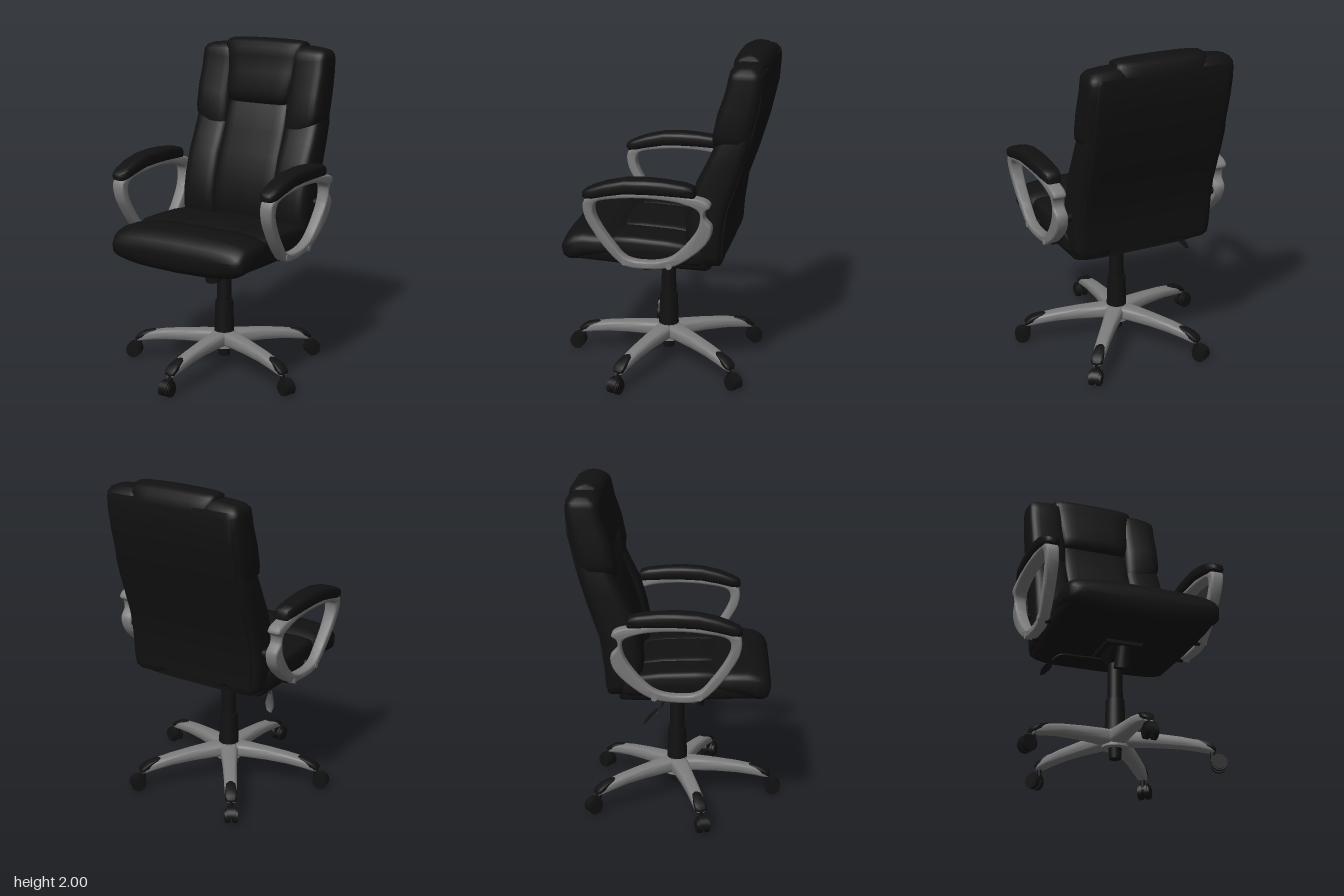
import * as THREE from 'three';
import { toCreasedNormals } from 'three/addons/utils/BufferGeometryUtils.js';

const black = new THREE.MeshStandardMaterial({ color: 0x111111 });
black.name = 'black leather';
const grey = new THREE.MeshStandardMaterial({ color: 0x7c7c7c });
grey.name = 'grey metal';

function add(parent, name, geo, mat, x = 0, y = 0, z = 0) {
  const m = new THREE.Mesh(geo, mat);
  m.name = name;
  m.position.set(x, y, z);
  parent.add(m);
  return m;
}

// Skin rounded-rectangle sections; each row is [t, a0, a1, b0, b1], map turns (a, b, t) into [x, y, z]
function loft(rows, map, power = 4, seg = 32) {
  const pos = [], idx = [];
  for (const [t, a0, a1, b0, b1] of rows) {
    for (let i = 0; i < seg; i++) {
      const w = (i / seg) * Math.PI * 2, c = Math.cos(w), s = Math.sin(w);
      const u = Math.sign(c) * Math.abs(c) ** (2 / power), v = Math.sign(s) * Math.abs(s) ** (2 / power);
      pos.push(...map((a0 + a1) / 2 + u * (a1 - a0) / 2, (b0 + b1) / 2 + v * (b1 - b0) / 2, t));
    }
  }
  for (let r = 0; r < rows.length - 1; r++) {
    for (let i = 0; i < seg; i++) {
      const a = r * seg + i, b = r * seg + (i + 1) % seg;
      idx.push(a, b, a + seg, b, b + seg, a + seg);
    }
  }
  for (const end of [0, rows.length - 1]) {
    const [t, a0, a1, b0, b1] = rows[end], n = pos.length / 3;
    pos.push(...map((a0 + a1) / 2, (b0 + b1) / 2, t));
    for (let i = 0; i < seg; i++) {
      const a = end * seg + i, b = end * seg + (i + 1) % seg;
      idx.push(...(end ? [a, b, n] : [b, a, n]));
    }
  }
  // Turn the faces outward whichever way the map is handed
  let vol = 0;
  const P = (i) => new THREE.Vector3().fromArray(pos, i * 3);
  for (let i = 0; i < idx.length; i += 3) vol += P(idx[i]).dot(P(idx[i + 1]).cross(P(idx[i + 2])));
  if (vol < 0) idx.reverse();
  const g = new THREE.BufferGeometry();
  g.setAttribute('position', new THREE.Float32BufferAttribute(pos, 3));
  g.setIndex(idx);
  return toCreasedNormals(g, 0.9);
}
const alongY = (a, b, t) => [a, t, b];
const alongZ = (a, b, t) => [a, b, t];

function buildBackrest(parent) {
  const g = new THREE.Group();
  g.name = 'backrest';
  parent.add(g);
  for (const s of [-1, 1]) {
    const side = (a, b, t) => [s * a, t, b];
    // Lower side bolster
    add(g, 'sideBolster', loft([
      [0.79, 0.24, 0.40, -0.405, -0.30], [0.805, 0.21, 0.43, -0.412, -0.25], [0.85, 0.2, 0.442, -0.415, -0.215],
      [0.95, 0.2, 0.447, -0.42, -0.2], [1.05, 0.2, 0.447, -0.43, -0.2], [1.15, 0.2, 0.447, -0.45, -0.22],
      [1.29, 0.2, 0.445, -0.5, -0.26], [1.4, 0.2, 0.445, -0.535, -0.315], [1.5, 0.2, 0.443, -0.565, -0.36],
      [1.62, 0.2, 0.43, -0.59, -0.42]], side), black);
    // Upper wing beside the headrest, its lower edge rising outward
    add(g, 'sideWing', loft([
      [1.45, 0.23, 0.42, -0.545, -0.38], [1.47, 0.21, 0.44, -0.553, -0.35], [1.52, 0.2, 0.445, -0.572, -0.347],
      [1.66, 0.2, 0.445, -0.605, -0.372], [1.8, 0.2, 0.443, -0.627, -0.415], [1.88, 0.2, 0.442, -0.63, -0.43],
      [1.93, 0.2, 0.44, -0.622, -0.44], [1.955, 0.2, 0.425, -0.6, -0.465], [1.963, 0.2, 0.4, -0.575, -0.49]],
    (a, b, t) => [s * a, t + (1.963 - t) * (a - 0.3) * 0.9 - Math.max(0, a - 0.3) * 0.1 * (t > 1.9), b]), black);
  }
  add(g, 'lumbarCushion', loft([
    [0.8, -0.21, 0.21, -0.41, -0.28], [0.85, -0.225, 0.225, -0.417, -0.235], [1.0, -0.225, 0.225, -0.427, -0.222],
    [1.15, -0.225, 0.225, -0.452, -0.24], [1.3, -0.225, 0.225, -0.505, -0.285], [1.45, -0.225, 0.225, -0.55, -0.345],
    [1.6, -0.22, 0.22, -0.588, -0.395], [1.64, -0.2, 0.2, -0.6, -0.43]], alongY, 7), black);
  add(g, 'headrest', loft([
    [1.6, -0.2, 0.2, -0.588, -0.41], [1.62, -0.222, 0.222, -0.593, -0.385], [1.68, -0.235, 0.235, -0.608, -0.372],
    [1.8, -0.25, 0.25, -0.63, -0.41], [1.9, -0.265, 0.265, -0.635, -0.425], [1.95, -0.272, 0.272, -0.628, -0.43],
    [1.98, -0.272, 0.272, -0.607, -0.445], [1.994, -0.265, 0.265, -0.58, -0.475], [2.0, -0.24, 0.24, -0.55, -0.5]],
  (a, b, t) => [a, t - 0.1 * a * a * (t > 1.9), b], 5), black);
  // Rear cover panel
  add(g, 'rearCover', loft([
    [0.83, -0.4, 0.4, -0.42, -0.38], [0.95, -0.41, 0.41, -0.427, -0.38], [1.13, -0.41, 0.41, -0.452, -0.4],
    [1.31, -0.41, 0.41, -0.514, -0.45], [1.53, -0.41, 0.41, -0.579, -0.5], [1.74, -0.41, 0.41, -0.625, -0.56],
    [1.88, -0.405, 0.405, -0.635, -0.56], [1.92, -0.39, 0.39, -0.63, -0.56]], alongY, 9), black);
}

function buildSeat(parent) {
  const g = new THREE.Group();
  g.name = 'seat';
  parent.add(g);
  add(g, 'seatBase', loft([
    [-0.34, -0.4, 0.4, 0.745, 0.86], [-0.32, -0.43, 0.43, 0.74, 0.89], [0, -0.45, 0.45, 0.748, 0.915],
    [0.3, -0.455, 0.455, 0.762, 0.92], [0.45, -0.44, 0.44, 0.765, 0.9]], alongZ, 5), black);
  // Cushion panels behind the front roll
  for (const [name, x0, x1, lift] of [['seatPanel', -0.215, 0.215, 0.008], ['seatSide', 0.2, 0.455, 0], ['seatSide', -0.455, -0.2, 0]]) {
    add(g, name, loft([
      [-0.32, x0 + 0.02, x1 - 0.02, 0.8, 0.89], [-0.28, x0, x1, 0.79, 0.92 + lift], [-0.1, x0, x1, 0.79, 0.942 + lift],
      [0.1, x0, x1, 0.79, 0.95 + lift], [0.2, x0, x1, 0.79, 0.95 + lift], [0.26, x0 + 0.02, x1 - 0.02, 0.8, 0.92]],
    alongZ, 5), black);
  }
  // Waterfall front roll
  add(g, 'frontRoll', loft([
    [0.18, -0.43, 0.43, 0.79, 0.925], [0.2, -0.452, 0.452, 0.775, 0.952], [0.3, -0.462, 0.462, 0.768, 0.968],
    [0.4, -0.464, 0.464, 0.757, 0.972], [0.45, -0.462, 0.462, 0.738, 0.966], [0.49, -0.456, 0.456, 0.736, 0.948],
    [0.52, -0.442, 0.442, 0.752, 0.92], [0.534, -0.42, 0.42, 0.785, 0.892], [0.54, -0.38, 0.38, 0.82, 0.865]],
  (a, b, t) => [a, b + (b < 0.85 ? 0.12 : -0.06) * a * a, t], 5, 48), black);
}

const spline = (pts) => new THREE.CatmullRomCurve3(pts.map(([z, y]) => new THREE.Vector3(z, y, 0)), true, 'centripetal')
  .getPoints(72).map((p) => new THREE.Vector2(p.x, p.y));

function buildArm(parent, s) {
  const g = new THREE.Group();
  g.name = s > 0 ? 'leftArm' : 'rightArm';
  parent.add(g);
  // Looped frame, leaning outward toward the top
  const shape = new THREE.Shape(spline([[0.355, 1.19], [0.2, 1.245], [0, 1.265], [-0.2, 1.25], [-0.35, 1.22], [-0.368, 1.19],
    [-0.34, 1.165], [-0.335, 1.12], [-0.375, 1.07], [-0.36, 0.99], [-0.27, 0.89], [-0.15, 0.81], [0, 0.785], [0.13, 0.795],
    [0.21, 0.86], [0.3, 0.98], [0.36, 1.1]]));
  shape.holes.push(new THREE.Path(spline([[0.305, 1.12], [0.29, 1.175], [0.15, 1.21], [-0.05, 1.22], [-0.22, 1.2], [-0.305, 1.16],
    [-0.305, 1.08], [-0.25, 0.98], [-0.13, 0.86], [0, 0.83], [0.12, 0.845], [0.2, 0.93], [0.28, 1.05]]).reverse()));
  const geo = new THREE.ExtrudeGeometry(shape, {
    depth: 0.036, bevelThickness: 0.012, bevelSize: 0.01, bevelOffset: -0.01, bevelSegments: 3 });
  geo.translate(0, 0, -0.018).rotateY(Math.PI / 2);
  const p = geo.attributes.position;
  for (let i = 0; i < p.count; i++) {
    const y = p.getY(i), lean = THREE.MathUtils.clamp((y - 0.78) / 0.44, 0, 1);
    const x = p.getX(i) * (1 + 0.35 * lean) + (0.493 + 0.027 * lean) * s;
    p.setXYZ(i, x, y, -p.getZ(i));
  }
  // The reflection in z is undone by swapping two corners of every face
  for (let i = 0; i < p.count; i += 3) {
    const a = [p.getX(i), p.getY(i), p.getZ(i)];
    p.setXYZ(i, p.getX(i + 1), p.getY(i + 1), p.getZ(i + 1));
    p.setXYZ(i + 1, ...a);
  }
  add(g, 'armFrame', toCreasedNormals(geo, 0.7), grey);

  add(g, 'armPad', loft([
    [-0.28, 0.485, 0.545, 1.235, 1.275], [-0.27, 0.47, 0.56, 1.23, 1.3], [-0.22, 0.462, 0.57, 1.235, 1.315],
    [-0.1, 0.46, 0.575, 1.24, 1.328], [0, 0.46, 0.577, 1.24, 1.332], [0.12, 0.46, 0.577, 1.235, 1.325],
    [0.23, 0.46, 0.576, 1.215, 1.3], [0.31, 0.463, 0.572, 1.195, 1.27], [0.35, 0.47, 0.562, 1.192, 1.25],
    [0.368, 0.49, 0.545, 1.2, 1.235]], (a, b, t) => [s * a, b, t], 3.2), black);
  // Bolts and the blocks that carry the arm
  for (const [z, y, x] of [[-0.343, 1.045, 0.508], [-0.13, 0.815, 0.495], [0.13, 0.82, 0.495]]) {
    add(g, 'bolt', new THREE.CylinderGeometry(0.018, 0.018, 0.072, 20).rotateZ(Math.PI / 2), grey, s * x, y, z);
    add(g, 'armMount', new THREE.CylinderGeometry(0.025, 0.025, 0.08, 16).rotateZ(Math.PI / 2), black, s * (x - 0.05), y, z);
  }
}

function buildMechanism(parent) {
  const g = new THREE.Group();
  g.name = 'mechanism';
  parent.add(g);
  add(g, 'mountPlate', new THREE.BoxGeometry(0.22, 0.02, 0.3), black, 0, 0.738, 0);
  add(g, 'tiltHousing', loft([[0.66, -0.045, 0.045, -0.06, 0.05], [0.7, -0.065, 0.065, -0.1, 0.09],
    [0.745, -0.075, 0.075, -0.12, 0.11]], alongY, 6), black);
  const knob = add(g, 'tensionKnob', new THREE.CylinderGeometry(0.038, 0.05, 0.13, 20), black, 0, 0.655, 0.115);
  knob.rotation.x = 0.25;
  const V = (x, y, z) => new THREE.Vector3(x, y, z);
  add(g, 'lever', new THREE.TubeGeometry(new THREE.CatmullRomCurve3([V(-0.03, 0.71, -0.07), V(-0.2, 0.71, -0.08),
    V(-0.32, 0.708, -0.09), V(-0.36, 0.68, -0.12)]), 24, 0.007, 8), black);
  add(g, 'leverPaddle', loft([[0, -0.008, 0.008, -0.008, 0.008], [0.2, -0.02, 0.02, -0.01, 0.01], [0.7, -0.03, 0.03, -0.012, 0.012],
    [1, -0.018, 0.018, -0.008, 0.008]], (a, b, t) => [-0.355 - 0.04 * t + a, 0.69 - 0.072 * t + b + a * 0.4, -0.11 - 0.08 * t + b], 3, 16), black);
}

function buildBase(parent) {
  const g = new THREE.Group();
  g.name = 'base';
  g.position.z = -0.018;
  parent.add(g);
  add(g, 'hub', new THREE.CylinderGeometry(0.07, 0.08, 0.1, 32), grey, 0, 0.187, 0);
  add(g, 'hubBottom', new THREE.CylinderGeometry(0.04, 0.035, 0.07, 24), black, 0, 0.11, 0);
  add(g, 'columnSleeve', new THREE.CylinderGeometry(0.055, 0.062, 0.2, 32), black, 0, 0.333, 0);
  add(g, 'gasColumn', new THREE.CylinderGeometry(0.043, 0.046, 0.3, 32), black, 0, 0.57, 0);
  for (let i = 0; i < 5; i++) {
    const leg = new THREE.Group();
    leg.name = 'leg';
    leg.rotation.y = i * Math.PI * 0.4;
    g.add(leg);
    add(leg, 'legArm', loft([[0.02, -0.06, 0.06, 0.15, 0.238], [0.12, -0.052, 0.052, 0.15, 0.234], [0.25, -0.044, 0.044, 0.148, 0.222],
      [0.38, -0.04, 0.04, 0.14, 0.205], [0.48, -0.038, 0.038, 0.125, 0.185], [0.55, -0.034, 0.034, 0.112, 0.158],
      [0.57, -0.026, 0.026, 0.11, 0.14]], alongZ, 3.5, 24), grey);
    add(leg, 'legCap', loft([[0.45, -0.012, 0.012, 0.16, 0.193], [0.47, -0.028, 0.028, 0.15, 0.194], [0.53, -0.036, 0.036, 0.135, 0.177],
      [0.565, -0.035, 0.035, 0.12, 0.155], [0.58, -0.025, 0.025, 0.12, 0.14]], alongZ, 4, 20), black);
    add(leg, 'casterStem', new THREE.CylinderGeometry(0.014, 0.014, 0.08, 12), black, 0, 0.1, 0.56);
    // Twin wheel caster with a hood
    for (const s of [-1, 1]) {
      add(leg, 'wheel', new THREE.CylinderGeometry(0.045, 0.045, 0.024, 24).rotateZ(Math.PI / 2), black, s * 0.022, 0.045, 0.597);
      add(leg, 'wheelFace', new THREE.CylinderGeometry(0.036, 0.036, 0.034, 20).rotateZ(Math.PI / 2), black, s * 0.022, 0.045, 0.597);
    }
    const hood = new THREE.CylinderGeometry(0.052, 0.052, 0.05, 20, 1, false, 0, Math.PI).rotateZ(Math.PI / 2);
    add(leg, 'casterHood', hood, black, 0, 0.05, 0.595).scale.set(1, 0.95, 0.95);
  }
}

export function createModel() {
  const model = new THREE.Group();
  model.name = 'officeChair';
  // Seat, back and arms are swivelled slightly on the base
  const upper = new THREE.Group();
  upper.name = 'upperChair';
  upper.rotation.y = 0.03;
  model.add(upper);
  buildBackrest(upper);
  buildSeat(upper);
  buildArm(upper, 1);
  buildArm(upper, -1);
  buildMechanism(upper);
  buildBase(model);
  return model;
}
